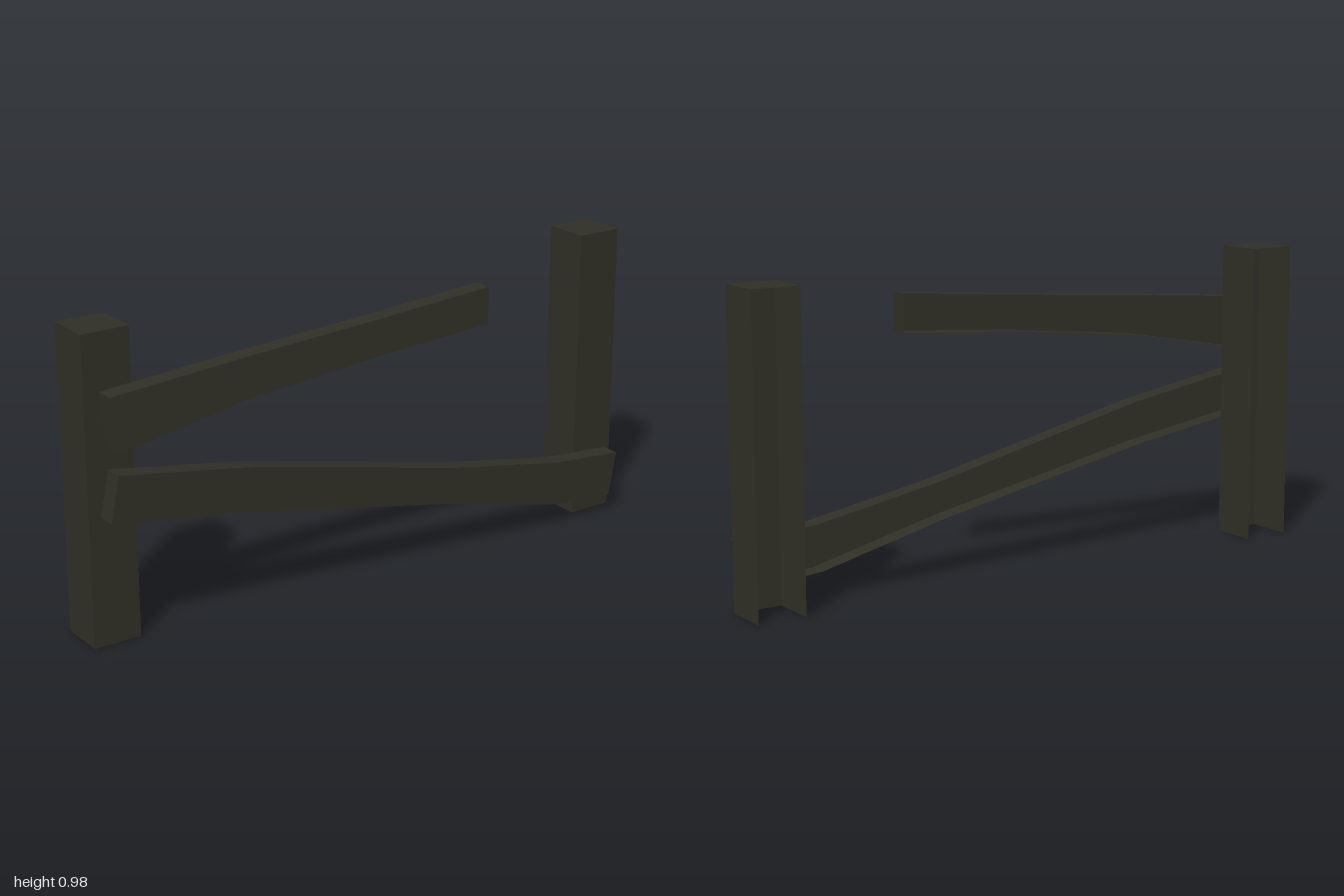
import * as THREE from 'three';

// Hollow channel with an open back, lofted through sections [topX, topY, bottomX, bottomY, backZ, frontZ]
function channel(sections, closedBottom = true) {
  const rings = sections.map(([tx, ty, bx, by, back, front]) => [
    [tx, ty, back], [tx, ty, front], [bx, by, front], [bx, by, back],
  ]);
  const pos = [];
  const quad = (a, b, c, d) => pos.push(...a, ...b, ...c, ...a, ...c, ...d);

  // Top, front and (optionally) bottom walls
  const walls = closedBottom ? 3 : 2;
  for (let i = 0; i < rings.length - 1; i++) {
    const r = rings[i], n = rings[i + 1];
    for (let k = 0; k < walls; k++) quad(r[k], r[k + 1], n[k + 1], n[k]);
  }
  // End walls
  const s = rings[0], e = rings[rings.length - 1];
  quad(s[0], s[3], s[2], s[1]);
  quad(e[0], e[1], e[2], e[3]);

  const geometry = new THREE.BufferGeometry();
  geometry.setAttribute('position', new THREE.Float32BufferAttribute(pos, 3));
  geometry.computeVertexNormals();
  return geometry;
}

export function createModel() {
  const group = new THREE.Group();
  const wood = new THREE.MeshStandardMaterial({ color: 0x302f25, side: THREE.DoubleSide });
  wood.name = 'dark weathered wood';

  const add = (name, geometry) => {
    const mesh = new THREE.Mesh(geometry, wood);
    mesh.name = name;
    group.add(mesh);
  };

  // Posts: open at the back and underneath
  const height = 0.977, back = -0.122, front = 0.033;
  for (const [name, x0, x1] of [['rightPost', -1, -0.843], ['leftPost', 0.843, 1]]) {
    add(name, channel([x0, x1].map((x) => [x, height, x, 0, back, front]), false));
  }

  // Broken upper rail, bending slightly forward towards its free end
  add('upperRail', channel([
    [-0.95, 0.797, -0.93, 0.622, 0.033, 0.096],
    [-0.48, 0.835, -0.48, 0.704, 0.039, 0.102],
    [-0.03, 0.868, -0.03, 0.75, 0.051, 0.113],
    [0.39, 0.902, 0.39, 0.78, 0.06, 0.122],
  ]));

  // Fallen lower rail
  add('lowerRail', channel([
    [-0.93, 0.556, -0.96, 0.412],
    [-0.48, 0.482, -0.5, 0.341],
    [0.29, 0.307, 0.27, 0.187],
    [0.72, 0.23, 0.70, 0.083],
    [0.978, 0.21, 0.952, 0.063],
  ].map((p) => [...p, 0.033, 0.096])));

  return group;
}
